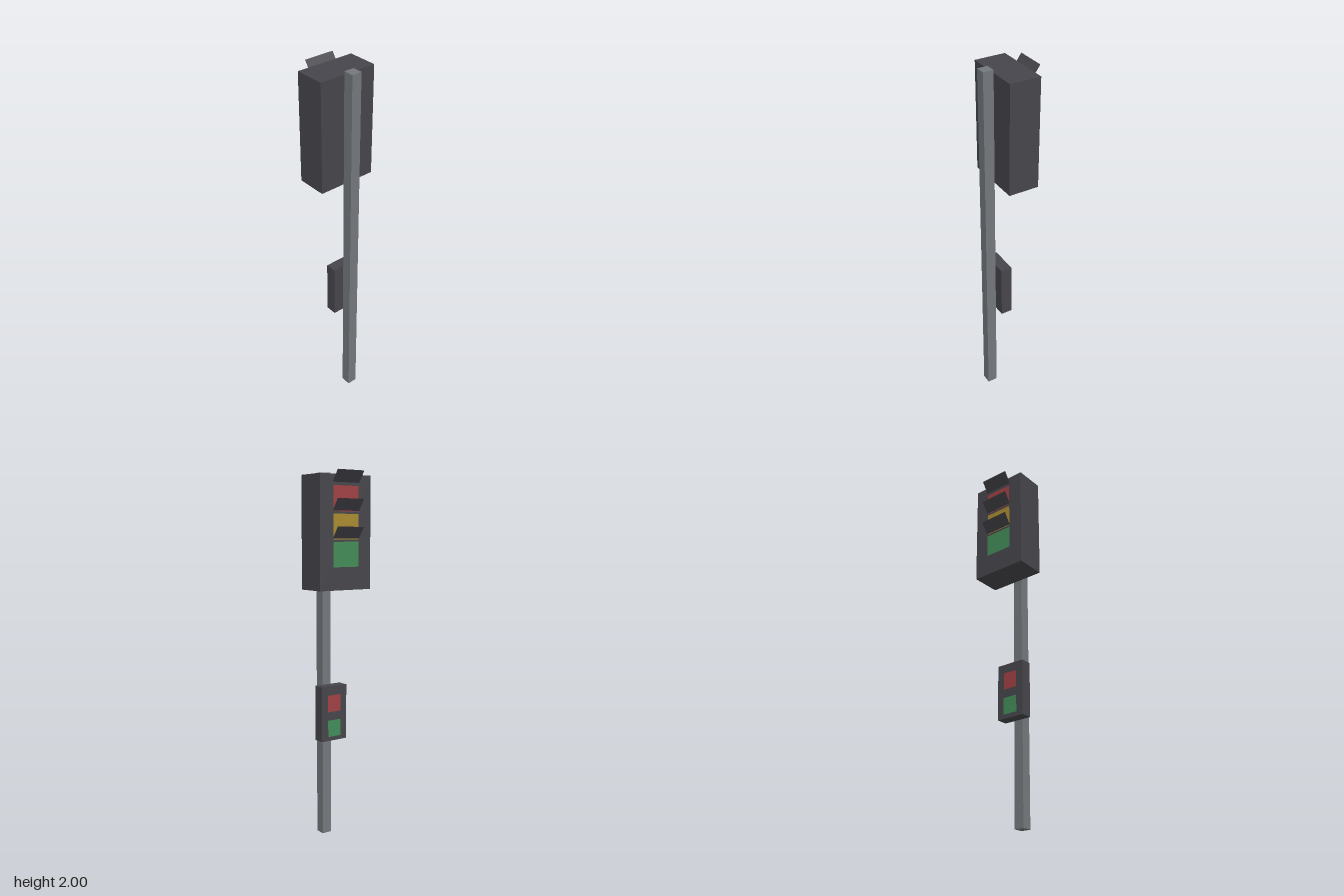
import * as THREE from 'three';

const paint = (color, extra = {}) => new THREE.MeshStandardMaterial({ color, ...extra });

export function createModel() {
  const group = new THREE.Group();
  const poleMat = paint(0x73787c);
  const caseMat = paint(0x46454b);
  const visorMat = paint(0x46454b, { side: THREE.DoubleSide });
  const red = paint(0xa04044), amber = paint(0xa88a30), green = paint(0x428c58);

  function add(name, geometry, material, x, y, z = 0) {
    const mesh = new THREE.Mesh(geometry, material);
    mesh.name = name;
    mesh.position.set(x, y, z);
    group.add(mesh);
    return mesh;
  }

  // Flat lamp panel facing -x
  function lamp(name, material, x, y, width, height) {
    add(name, new THREE.PlaneGeometry(width, height), material, x, y).rotation.y = -Math.PI / 2;
  }

  // Square pole standing beside the signal boxes
  add('pole', new THREE.BoxGeometry(0.056, 2, 0.055), poleMat, 0.108, 1, -0.001);

  // Main signal: housing, three lamps, each with a thin visor flaring up and out
  add('signalHousing', new THREE.BoxGeometry(0.167, 0.59, 0.324), caseMat, -0.0095, 1.685, -0.001);
  const rise = 0.06, reach = 0.042;
  [['redLamp', red], ['amberLamp', amber], ['greenLamp', green]].forEach(([name, material], i) => {
    const drop = i * 0.142;
    lamp(name, material, -0.096, 1.859 - drop, 0.16, 0.13);
    const visor = new THREE.PlaneGeometry(0.168, Math.hypot(rise, reach));
    visor.rotateY(Math.PI / 2);
    visor.rotateZ(Math.atan2(reach, rise));
    add('visor', visor, visorMat, -0.117, 1.97 - drop, -0.001);
  });

  // Pedestrian signal lower on the pole
  add('pedestrianHousing', new THREE.BoxGeometry(0.063, 0.304, 0.164), caseMat, 0.0415, 0.711);
  lamp('pedestrianRedLamp', red, 0.008, 0.767, 0.084, 0.092);
  lamp('pedestrianGreenLamp', green, 0.008, 0.628, 0.084, 0.092);

  return group;
}
